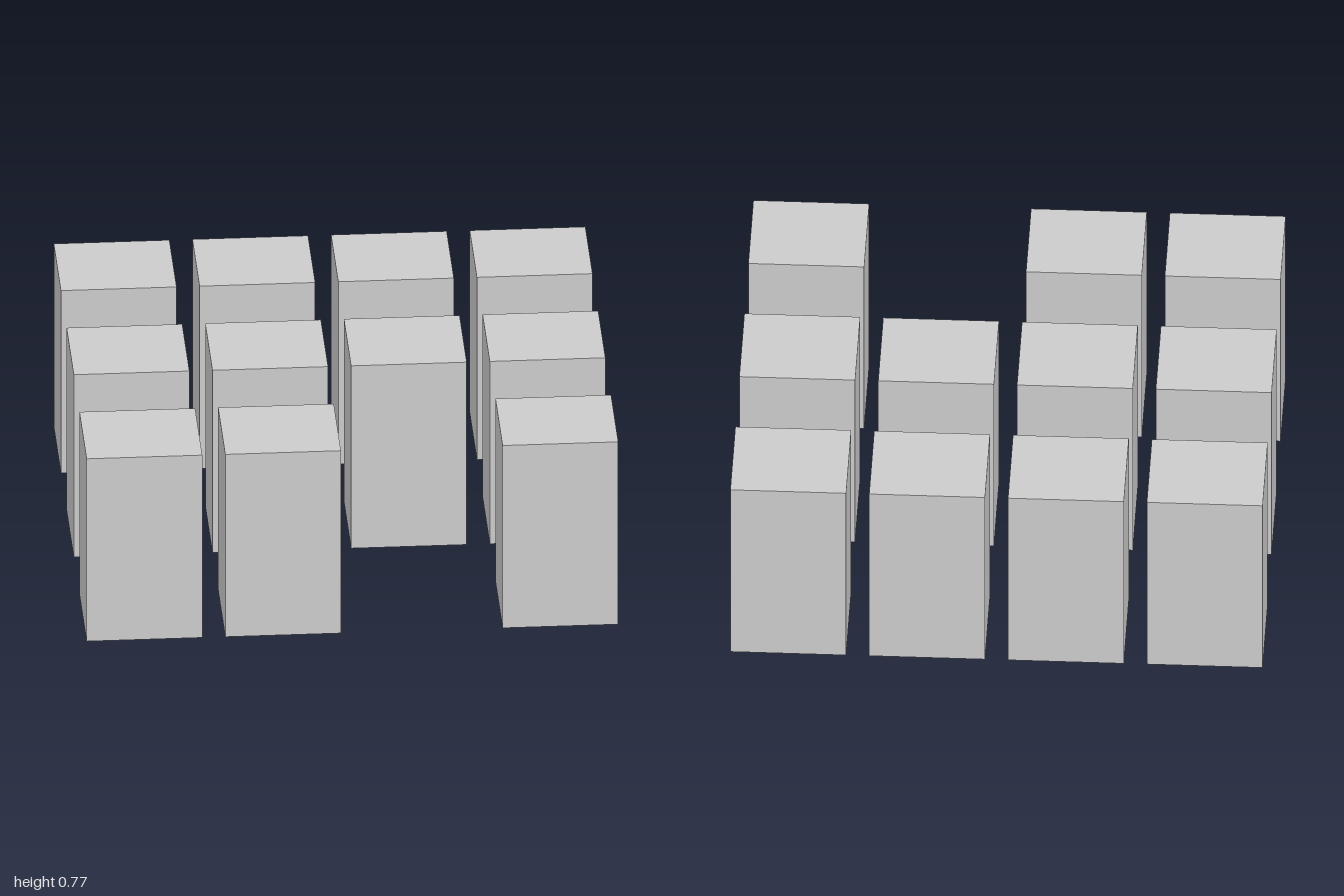
import * as THREE from 'three';

export function createModel() {
  const group = new THREE.Group();
  group.name = 'blockGrid';
  const material = new THREE.MeshStandardMaterial({ color: 0xcccccc, flatShading: true });

  // one upright block, repeated on a grid of 4 columns by 3 rows
  const width = 0.435, height = 0.77, depth = 0.386;
  const geometry = new THREE.BoxGeometry(width, height, depth);
  const stepX = 0.5217, stepZ = 0.692;

  for (let row = 0; row < 3; row++) {
    for (let col = 0; col < 4; col++) {
      // gap in the front row
      if (row === 2 && col === 2) continue;
      const block = new THREE.Mesh(geometry, material);
      block.name = `blockRow${row + 1}Column${col + 1}`;
      block.position.set((col - 1.5) * stepX, height / 2, (row - 1) * stepZ);
      group.add(block);
    }
  }
  return group;
}
